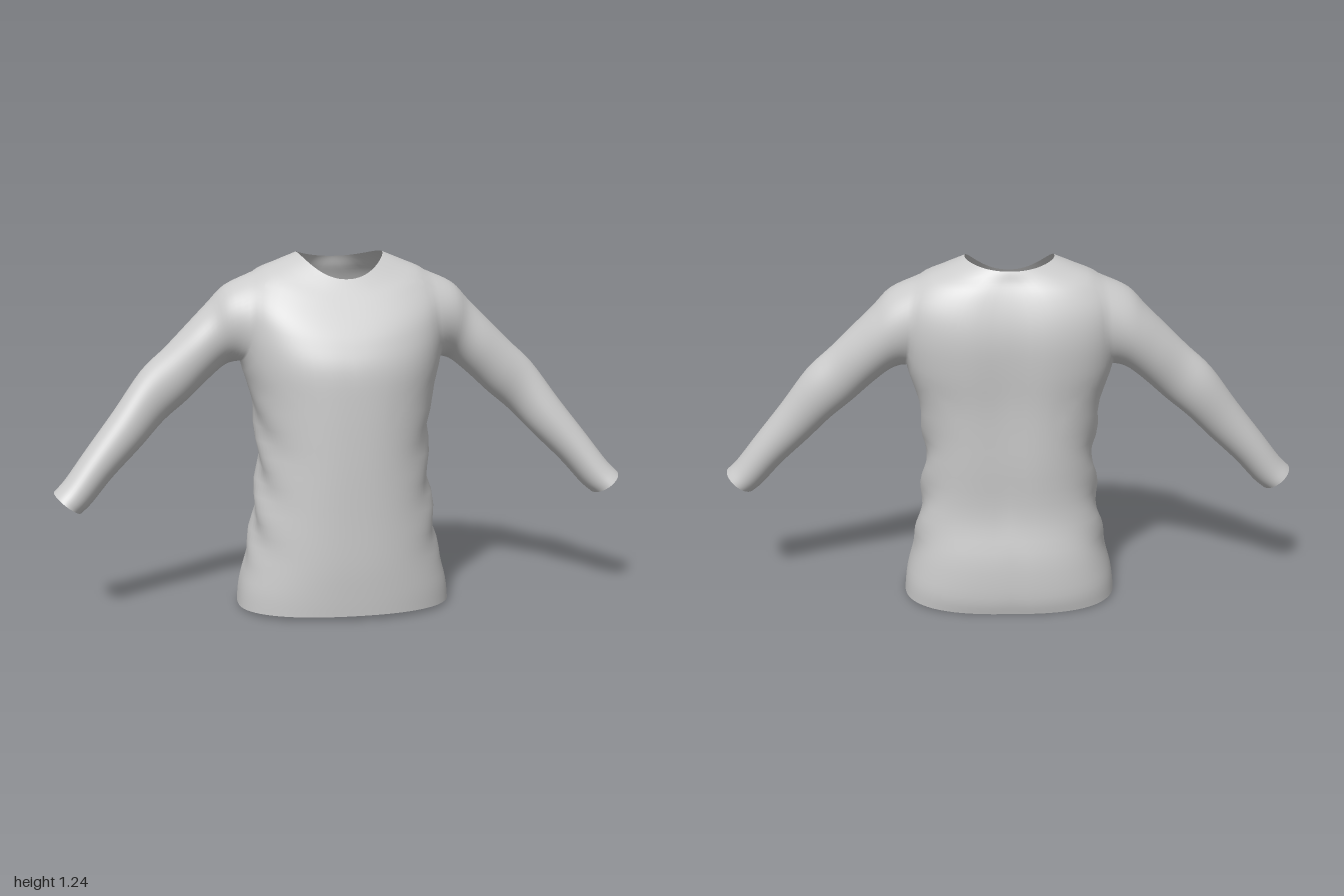
import * as THREE from 'three';
import { mergeVertices } from 'three/addons/utils/BufferGeometryUtils.js';

// Torso rings from hem to neckline: side x, y, z | front y, z | back y, z
const RINGS = [
  [0.375, 0.015, 0.01, 0.02, 0.26, 0.005, -0.24],
  [0.366, 0.09, 0.01, 0.09, 0.265, 0.07, -0.253],
  [0.338, 0.2, 0.01, 0.2, 0.27, 0.2, -0.25],
  [0.312, 0.36, 0.01, 0.36, 0.27, 0.36, -0.225],
  [0.295, 0.55, 0, 0.55, 0.27, 0.55, -0.238],
  [0.315, 0.74, -0.02, 0.74, 0.266, 0.74, -0.25],
  [0.35, 0.87, -0.05, 0.86, 0.257, 0.88, -0.265],
  [0.37, 1.0, -0.06, 0.94, 0.228, 0.98, -0.27],
  [0.36, 1.1, -0.06, 1.0, 0.195, 1.06, -0.26],
  [0.3, 1.175, -0.06, 1.07, 0.148, 1.14, -0.235],
  [0.22, 1.212, -0.06, 1.118, 0.115, 1.185, -0.208],
  [0.15, 1.24, -0.06, 1.155, 0.092, 1.215, -0.19],
];
// Sleeve stations: top x, y | bottom x, y | centre z, half depth
const SLEEVE = [
  [0.4, 1.13, 0.375, 0.865, -0.06, 0.13],
  [0.46, 1.07, 0.41, 0.85, -0.065, 0.113],
  [0.53, 1.0, 0.47, 0.8, -0.055, 0.1],
  [0.61, 0.92, 0.54, 0.735, -0.045, 0.084],
  [0.695, 0.84, 0.62, 0.668, -0.04, 0.076],
  [0.79, 0.71, 0.70, 0.585, -0.015, 0.074],
  [0.89, 0.58, 0.80, 0.487, 0.01, 0.074],
  [0.96, 0.487, 0.872, 0.405, 0.03, 0.077],
  [1.0, 0.445, 0.91, 0.372, 0.04, 0.082],
];
const COLS = 36, SUB = 4, ROWS = (RINGS.length - 1) * SUB;
// Armhole block in the torso grid: centre and half size
const AC = 18, AR = 30, HC = 7, HR = 6;

const lerp = THREE.MathUtils.lerp;
const smooth = THREE.MathUtils.smoothstep;

// Smoothly interpolated ring values
function ringAt(v) {
  const i = Math.min(Math.floor(v), RINGS.length - 2), t = v - i;
  const at = (k) => RINGS[THREE.MathUtils.clamp(k, 0, RINGS.length - 1)];
  return RINGS[0].map((_, n) => {
    const [p0, p1, p2, p3] = [at(i - 1)[n], at(i)[n], at(i + 1)[n], at(i + 2)[n]];
    return p1 + 0.5 * t * (p2 - p0 + t * (2 * p0 - 5 * p1 + 4 * p2 - p3 + t * (3 * (p1 - p2) + p3 - p0)));
  });
}

// Point on the torso: u runs front (0) over the side to the back (PI)
function torsoPoint(u, v) {
  const [sx, sy, sz, fy, fz, by, bz] = ringAt(v);
  const s = Math.max(0, Math.sin(u)), c = Math.cos(u), front = c >= 0;
  const e = lerp(front ? 0.88 : 0.72, 0.92, smooth(v, 8, 11));
  const side = Math.pow(s, e), depth = Math.pow(Math.abs(c), e);
  const p = new THREE.Vector3(
    sx * side,
    lerp(front ? fy : by, sy, s * s),
    sz + ((front ? fz : bz) - sz) * depth);
  if (s < 1e-6) p.x = 0;
  // Soft diagonal folds along the flanks
  const fold = Math.pow(s, 4) * smooth(p.y, 0.12, 0.3) * (1 - smooth(p.y, 0.6, 0.82));
  p.x += 0.009 * fold * Math.sin(p.y * 34 + p.z * 18);
  // Shallow groove down the middle of the back
  if (!front) p.z += 0.016 * Math.exp(-((p.x / 0.09) ** 2)) * smooth(v, 2, 6) * (1 - smooth(v, 9, 11));
  return p;
}

// Rounds the square armhole block of the grid into a circle
function gridPoint(i, j) {
  let a = (i - AC) / HC, b = (j - AR) / HR;
  const r = Math.max(Math.abs(a), Math.abs(b));
  if (r >= 1 && r < 2) {
    const k = lerp(r / Math.hypot(a, b), 1, r - 1);
    a *= k;
    b *= k;
  }
  return torsoPoint((AC + a * HC) / COLS * Math.PI, (AR + b * HR) / SUB);
}

// Grid corners around the armhole, counter-clockwise from outside
function armholeLoop() {
  const loop = [];
  for (let i = -HC; i < HC; i++) loop.push([i, -HR]);
  for (let j = -HR; j < HR; j++) loop.push([HC, j]);
  for (let i = HC; i > -HC; i--) loop.push([i, HR]);
  for (let j = HR; j > -HR; j--) loop.push([-HC, j]);
  return loop;
}

export function createModel() {
  const pos = [], torso = [], sleeve = [];
  const quad = (list, a, b, c, d) => list.push(a, b, c, a, c, d);

  // Left half of the torso, leaving the armhole open
  const W = COLS + 1;
  for (let j = 0; j <= ROWS; j++)
    for (let i = 0; i <= COLS; i++) pos.push(...gridPoint(i, j).toArray());
  for (let j = 0; j < ROWS; j++)
    for (let i = 0; i < COLS; i++) {
      if (i >= AC - HC && i < AC + HC && j >= AR - HR && j < AR + HR) continue;
      const a = j * W + i;
      quad(torso, a, a + 1, a + W + 1, a + W);
    }

  // Left sleeve, lofted from the armhole to the cuff
  const loop = armholeLoop(), n = loop.length, steps = SLEEVE.length * SUB;
  const base = pos.length / 3;
  const curves = loop.map(([i, j]) => {
    const r = Math.hypot(i / HC, j / HR), a = -i / HC / r, b = j / HR / r;
    const pts = SLEEVE.map(([tx, ty, bx, by, z, d]) => new THREE.Vector3(
      lerp(bx, tx, (b + 1) / 2), lerp(by, ty, (b + 1) / 2), z + d * a));
    return new THREE.CatmullRomCurve3([gridPoint(AC + i, AR + j), ...pts], false, 'catmullrom', 0.5);
  });
  for (let k = 0; k <= steps; k++)
    for (const curve of curves) pos.push(...curve.getPoint(k / steps).toArray());
  for (let k = 0; k < steps; k++)
    for (let i = 0; i < n; i++) {
      const a = base + k * n + i, b = base + k * n + (i + 1) % n;
      quad(sleeve, a, b, b + n, a + n);
    }

  // Mirror to the right side
  const count = pos.length / 3, half = pos.length;
  for (let i = 0; i < half; i += 3) pos.push(-pos[i], pos[i + 1], pos[i + 2]);
  const flip = (list) => list.map((_, i) => list[i - (i % 3) + 2 - (i % 3)] + count);
  const parts = { torso: [...torso, ...flip(torso)], leftSleeve: sleeve, rightSleeve: flip(sleeve) };

  // Weld everything so the shading runs smoothly over the seams
  let geo = new THREE.BufferGeometry();
  geo.setAttribute('position', new THREE.Float32BufferAttribute(pos, 3));
  geo.setIndex(Object.values(parts).flat());
  geo = mergeVertices(geo, 1e-5);
  geo.computeVertexNormals();

  const material = new THREE.MeshStandardMaterial({ color: 0xcccccc, side: THREE.DoubleSide });
  const group = new THREE.Group();
  group.name = 'sweater';
  const index = Array.from(geo.index.array);
  let start = 0;
  for (const [name, list] of Object.entries(parts)) {
    const part = new THREE.BufferGeometry();
    part.setAttribute('position', geo.attributes.position);
    part.setAttribute('normal', geo.attributes.normal);
    part.setIndex(index.slice(start, start += list.length));
    const mesh = new THREE.Mesh(part, material);
    mesh.name = name;
    group.add(mesh);
  }
  return group;
}
